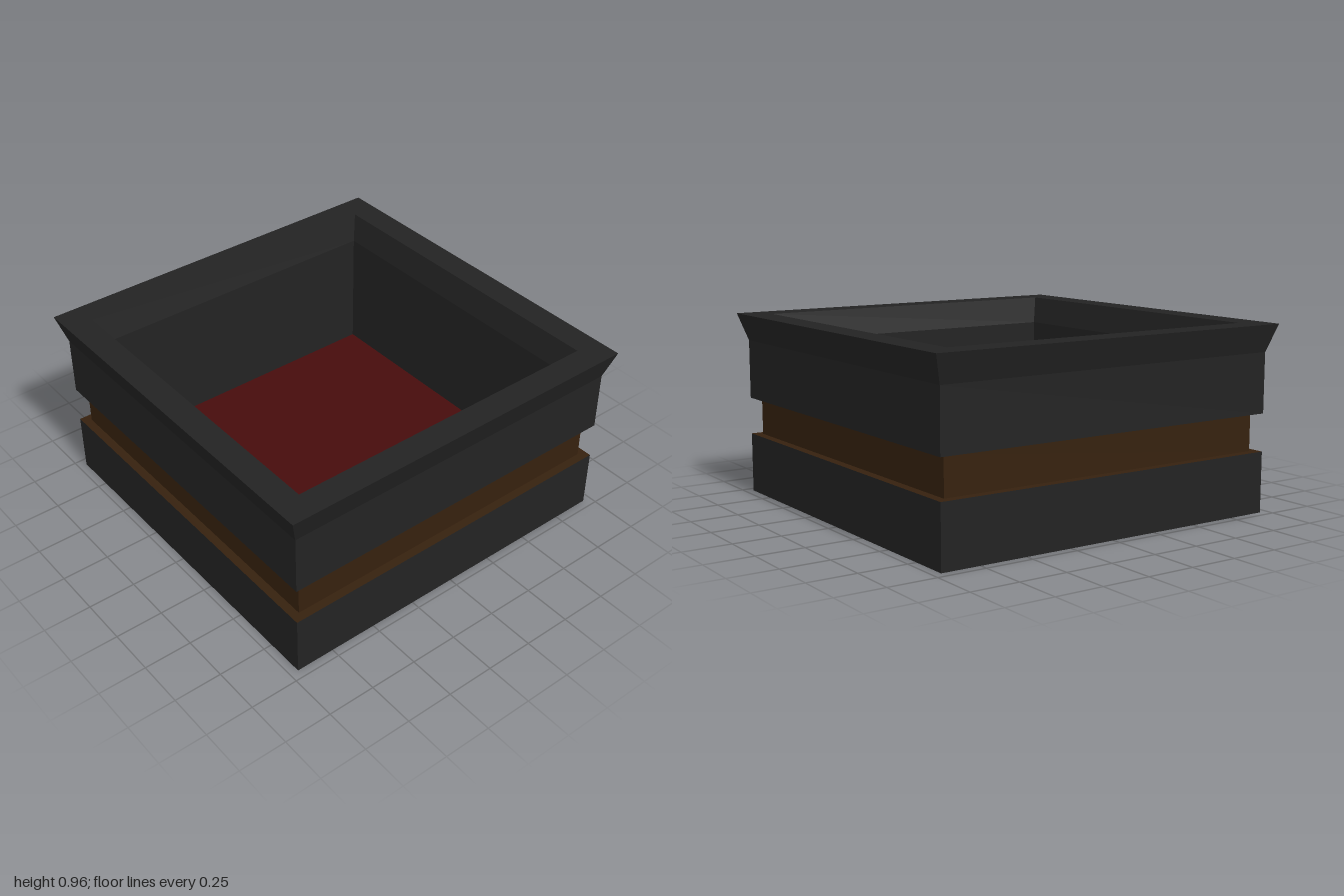
import * as THREE from 'three';

const black = new THREE.MeshStandardMaterial({ name: 'charcoal', color: 0x232323 });
const brown = new THREE.MeshStandardMaterial({ name: 'dark brown', color: 0x36210e });
const red = new THREE.MeshStandardMaterial({ name: 'deep red', color: 0x470c0c });

// Square ring swept from a profile of [half width, height] points
function squareSweep(name, profile, material) {
  const points = profile.map(([r, y]) => new THREE.Vector2(r * Math.SQRT2, y));
  const geometry = new THREE.LatheGeometry(points, 4, Math.PI / 4).toNonIndexed();
  geometry.computeVertexNormals();
  const mesh = new THREE.Mesh(geometry, material);
  mesh.name = name;
  return mesh;
}

// Horizontal square panel, facing up (1) or down (-1)
function panel(name, half, y, facing, material) {
  const geometry = new THREE.PlaneGeometry(half * 2, half * 2);
  geometry.rotateX(-facing * Math.PI / 2);
  const mesh = new THREE.Mesh(geometry, material);
  mesh.name = name;
  mesh.position.y = y;
  return mesh;
}

export function createModel() {
  const model = new THREE.Group();
  model.name = 'squarePlanter';

  const body = 0.955, waist = 0.91, inner = 0.825;
  const baseTop = 0.315, waistTop = 0.51, flare = 0.82, top = 0.963, floorY = 0.175;

  // Base block
  model.add(panel('underside', body, 0, -1, black));
  model.add(squareSweep('base', [[body, 0], [body, baseTop]], black));

  // Recessed band with its lower and upper ledges
  model.add(squareSweep('waistBand',
    [[body, baseTop], [waist, baseTop], [waist, waistTop], [body, waistTop]], brown));

  // Upper block, flared rim and inside walls
  model.add(squareSweep('upperBody', [[body, waistTop], [body, flare]], black));
  model.add(squareSweep('rim', [[body, flare], [1, top], [0.86, top], [inner, flare]], black));
  model.add(squareSweep('innerWalls', [[inner, flare], [inner, floorY]], black));

  // Inside floor
  model.add(panel('innerFloor', inner, floorY, 1, red));

  return model;
}
